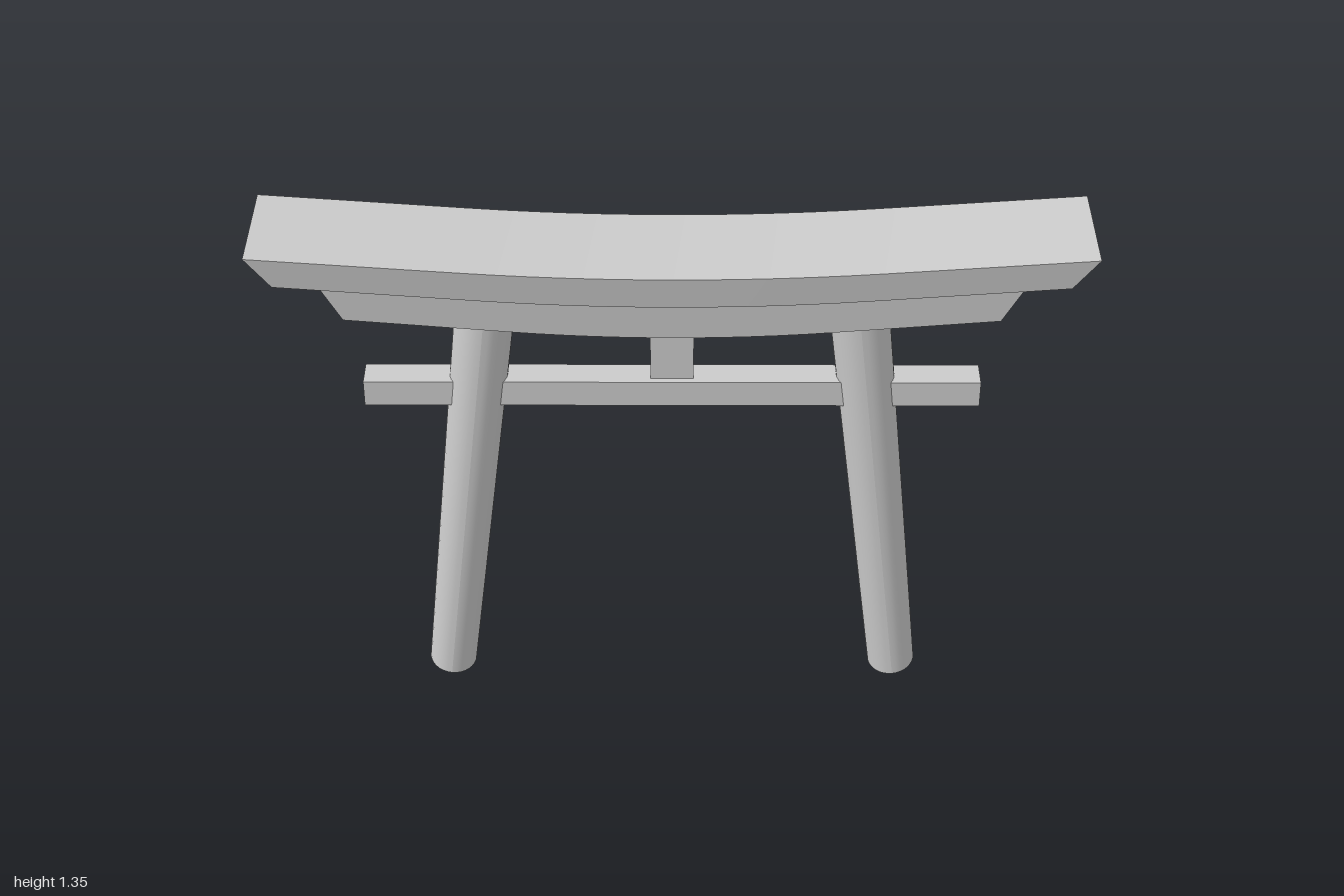
import * as THREE from 'three';

const material = new THREE.MeshStandardMaterial({ color: 0xcccccc });

function addMesh(parent, name, geometry) {
  const mesh = new THREE.Mesh(geometry, material);
  mesh.name = name;
  parent.add(mesh);
  return mesh;
}

// Upward sweep along a beam: curved near the middle, straight toward the tips (0..1)
function sweep(t) {
  const a = Math.abs(t);
  return (a < 0.5 ? a * a : a - 0.25) / 0.75;
}

// Curved beam; top and bottom each give half length, half depth, middle height and tip rise
function curvedBeam(top, bottom) {
  const geometry = new THREE.BoxGeometry(2, 2, 2, 24, 1, 1);
  const p = geometry.attributes.position;
  for (let i = 0; i < p.count; i++) {
    const t = p.getX(i);
    const edge = p.getY(i) > 0 ? top : bottom;
    p.setXYZ(i, t * edge.length, edge.y + edge.rise * sweep(t), p.getZ(i) * edge.depth);
  }
  geometry.computeVertexNormals();
  return geometry;
}

// Pillar that narrows toward the foot across the gate only
function pillar(length) {
  const geometry = new THREE.CylinderGeometry(0.073, 0.073, length, 32);
  const p = geometry.attributes.position;
  for (let i = 0; i < p.count; i++) {
    const k = p.getY(i) / length + 0.5;
    p.setX(i, p.getX(i) * THREE.MathUtils.lerp(0.84, 1.01, k));
  }
  geometry.computeVertexNormals();
  geometry.translate(0, length / 2, 0);
  return geometry;
}

export function createModel() {
  const gate = new THREE.Group();
  gate.name = 'gate';

  // Stacked lintels with slanted ends
  addMesh(gate, 'upperLintel', curvedBeam(
    { length: 1, depth: 0.143, y: 1.3, rise: 0.055 },
    { length: 0.94, depth: 0.132, y: 1.215, rise: 0.055 }));
  addMesh(gate, 'lowerLintel', curvedBeam(
    { length: 0.845, depth: 0.099, y: 1.213, rise: 0.05 },
    { length: 0.785, depth: 0.092, y: 1.1, rise: 0.05 }));

  // Pillars leaning inward
  for (const side of [1, -1]) {
    const leg = addMesh(gate, side > 0 ? 'leftPillar' : 'rightPillar', pillar(1.16));
    leg.position.set(side * 0.582, 0.008, 0);
    leg.rotation.z = side * 0.115;
  }

  // Tie beam through the pillars and the short strut above it
  addMesh(gate, 'tieBeam', new THREE.BoxGeometry(1.515, 0.07, 0.076)).position.y = 0.895;
  addMesh(gate, 'centreStrut', new THREE.BoxGeometry(0.106, 0.2, 0.042)).position.y = 1.02;

  return gate;
}
